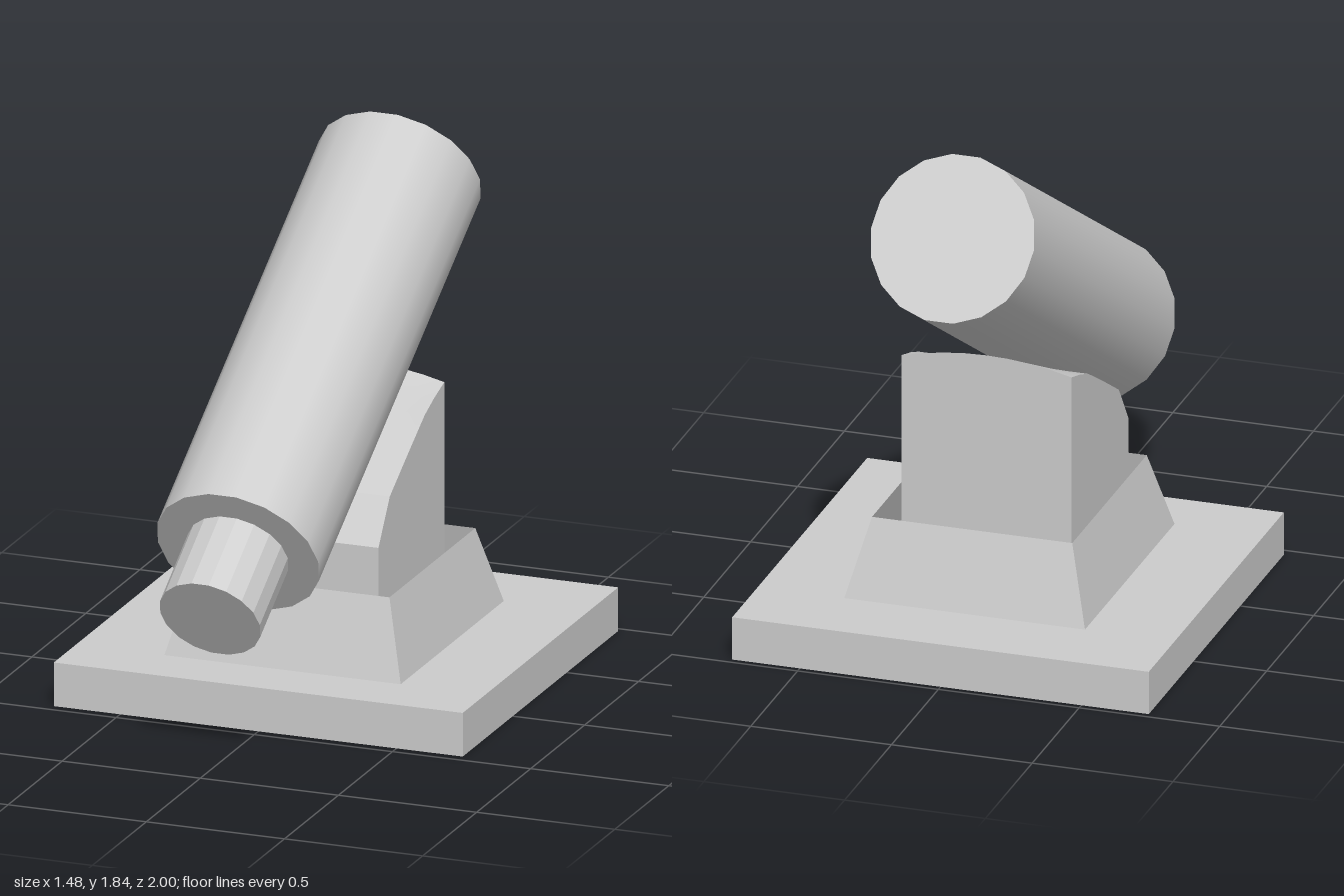
import * as THREE from 'three';
import { toCreasedNormals } from 'three/addons/utils/BufferGeometryUtils.js';

const smooth = new THREE.MeshStandardMaterial({ color: 0xcccccc });
const flat = new THREE.MeshStandardMaterial({ color: 0xcccccc, flatShading: true });
const flatOpen = new THREE.MeshStandardMaterial({ color: 0xcccccc, flatShading: true, side: THREE.DoubleSide });

function addMesh(group, name, geometry, material, x, y, z) {
  const mesh = new THREE.Mesh(geometry, material);
  mesh.name = name;
  mesh.position.set(x, y, z);
  group.add(mesh);
  return mesh;
}

// Eighteen-sided cylinder between two points in the x = 0 plane, given as [y, z]
function addTube(group, name, radius, from, to, material) {
  const dy = to[0] - from[0], dz = to[1] - from[1];
  const geometry = new THREE.CylinderGeometry(radius, radius, Math.hypot(dy, dz), 18, 1, false, Math.PI / 18);
  const mesh = addMesh(group, name, geometry, material, 0, (from[0] + to[0]) / 2, (from[1] + to[1]) / 2);
  mesh.rotation.x = Math.atan2(dz, dy);
}

// Block whose sloped top follows the tube: rows of [z, side height, extra height at the middle]
function saddleGeometry() {
  const rows = [[-0.495, 0.98, 0.04], [-0.4, 0.952, 0.012], [-0.315, 0.92, 0], [-0.15, 0.825, 0],
    [0.01, 0.73, 0], [0.115, 0.58, 0]];
  const halfWidth = 0.302, bottom = 0.155, n = rows.length - 1;
  const geometry = new THREE.BoxGeometry(2 * halfWidth, 1, 1, 8, 1, n);
  const p = geometry.attributes.position;
  for (let i = 0; i < p.count; i++) {
    const [z, side, arch] = rows[Math.round((p.getZ(i) + 0.5) * n)];
    const u = p.getX(i) / halfWidth;
    p.setY(i, p.getY(i) > 0 ? side + arch * (1 - u * u) : bottom);
    p.setZ(i, z);
  }
  return toCreasedNormals(geometry, 0.35);
}

export function createModel() {
  const group = new THREE.Group();
  group.name = 'telescope';

  // Base slab
  addMesh(group, 'base', new THREE.BoxGeometry(1.48, 0.155, 1.44), flat, 0, 0.0775, -0.257);

  // Tapered pedestal, open at the top
  const r = Math.SQRT1_2;
  const taper = new THREE.CylinderGeometry(r * 0.832, r, 0.275, 4, 1, true, Math.PI / 4);
  taper.scale(0.855, 1, 0.955);
  addMesh(group, 'pedestal', taper, flatOpen, 0.006, 0.2925, -0.224);

  // Saddle block rising out of the pedestal
  addMesh(group, 'saddle', saddleGeometry(), smooth, -0.003, 0, 0);

  // Tilted main tube and narrow eyepiece
  addTube(group, 'mainTube', 0.29, [0.695, 0.65], [1.59, -0.848], smooth);
  addTube(group, 'eyepiece', 0.18, [0.537, 0.909], [0.695, 0.65], flat);

  return group;
}
